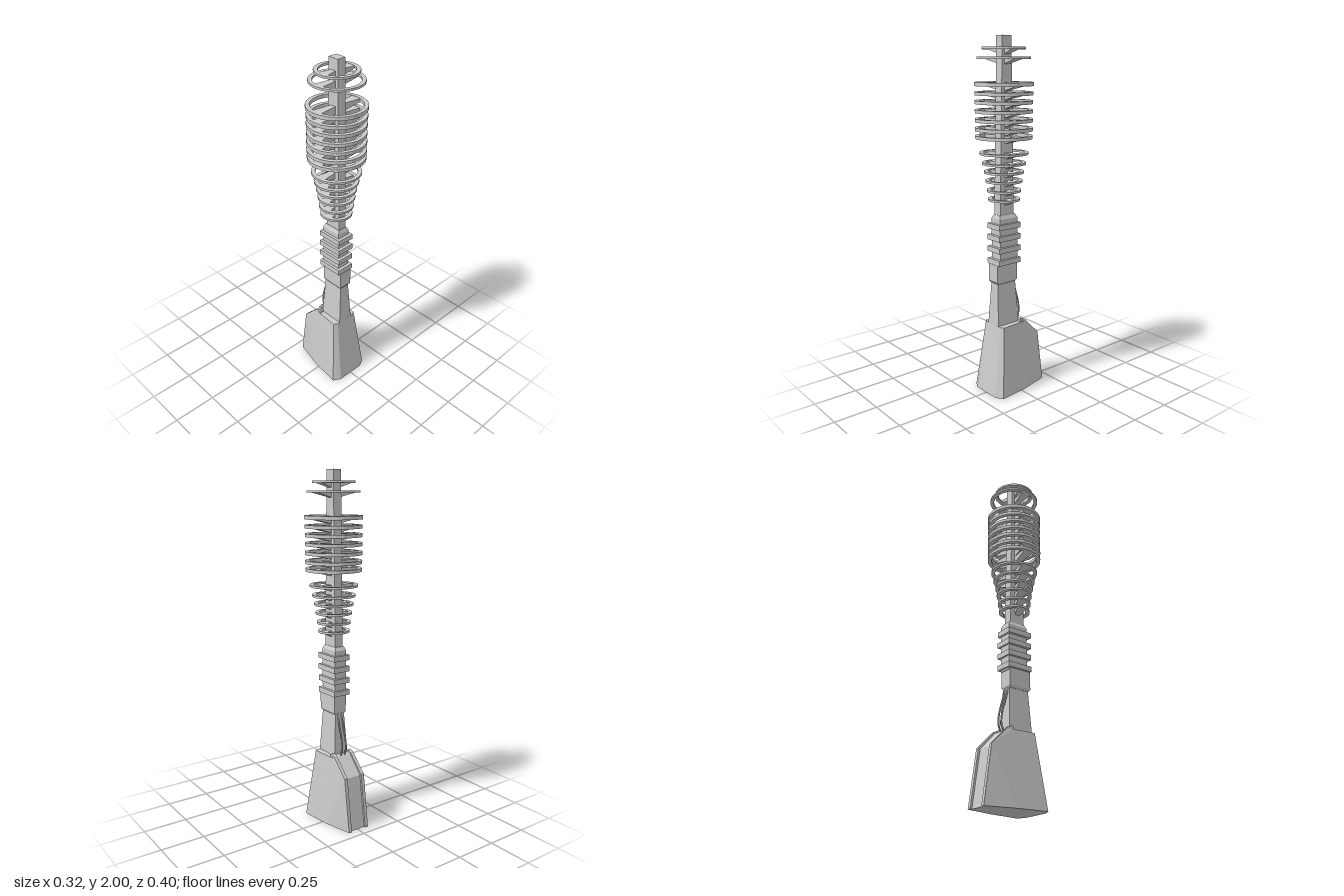
import * as THREE from 'three';
import { ConvexGeometry } from 'three/addons/geometries/ConvexGeometry.js';

const material = new THREE.MeshStandardMaterial({ color: 0xcccccc, flatShading: true });
const AXIS_Z = 0.04;

export function createModel() {
  const model = new THREE.Group();

  const add = (name, geometry, parent = model) => {
    const mesh = new THREE.Mesh(geometry, material);
    mesh.name = name;
    parent.add(mesh);
    return mesh;
  };

  // Faceted solid around a set of corners
  const hull = (name, corners, parent) =>
    add(name, new ConvexGeometry(corners.map((c) => new THREE.Vector3(...c))), parent);

  // Corners mirrored to both sides of x = 0
  const both = (corners) => corners.flatMap(([x, y, z]) => [[x, y, z], [-x, y, z]]);

  // Tapered block; each level is [y, half width, back z, front z]
  const block = (name, ...levels) =>
    hull(name, both(levels.flatMap(([y, w, back, front]) => [[w, y, back], [w, y, front]])));

  // Flared base with chamfered front corners
  hull('base', both([
    [0.085, 0, 0.175], [0.128, 0, 0.15], [0.107, 0, -0.03],
    [0.06, 0.405, 0.12], [0.083, 0.405, 0.108], [0.073, 0.405, -0.03],
  ]));

  // Rear housing: flanks, inset panel and two raised rails
  const profile = (inset) => new THREE.Shape([
    new THREE.Vector2(0.02, 0), new THREE.Vector2(0.2 - inset, 0),
    new THREE.Vector2(0.157 - inset, 0.312 - inset * 0.5),
    new THREE.Vector2(0.055, 0.415 - inset), new THREE.Vector2(0.03, 0.425 - inset),
    new THREE.Vector2(0.02, 0.42 - inset),
  ]);
  const slab = (name, x, width, inset) => {
    const geometry = new THREE.ExtrudeGeometry(profile(inset), { depth: width, bevelEnabled: false });
    geometry.rotateY(Math.PI / 2); // profile x becomes -z, depth becomes +x
    add(name, geometry).position.x = x - width / 2;
  };
  slab('rearPanel', 0, 0.1, 0.011);
  for (const side of [-1, 1]) {
    slab('rearRail', side * 0.058, 0.02, 0);
    hull('rearFlank', [
      [0.107, 0, -0.03], [0.073, 0.405, -0.03], [0.068, 0, -0.195],
      [0.068, 0.31, -0.153], [0.068, 0.405, -0.055],
      [0.05, 0, -0.03], [0.05, 0.405, -0.03],
    ].map(([x, y, z]) => [side * x, y, z]));
  }

  // Neck and grip
  block('neck', [0.4, 0.046, -0.03, 0.12], [0.66, 0.029, -0.015, 0.108]);
  block('gripFoot', [0.648, 0.032, -0.015, 0.11], [0.66, 0.039, -0.021, 0.118],
    [0.76, 0.039, -0.021, 0.118]);
  block('gripCore', [0.75, 0.038, -0.025, 0.098], [1.02, 0.038, -0.025, 0.098],
    [1.04, 0.028, -0.015, 0.09]);
  for (const y of [0.775, 0.845, 0.912, 0.977]) {
    block('gripBand', [y - 0.015, 0.053, -0.037, 0.116], [y + 0.015, 0.053, -0.037, 0.116]);
  }

  // Thin cables behind the neck
  for (const x of [-0.013, 0.013]) {
    const path = new THREE.CatmullRomCurve3([
      [x, 0.655, -0.012], [x, 0.59, -0.03], [x, 0.51, -0.052], [x, 0.45, -0.058], [x, 0.405, -0.045],
    ].map((p) => new THREE.Vector3(...p)));
    add('cable', new THREE.TubeGeometry(path, 16, 0.005, 6));
  }

  // Mast
  block('mast', [1.03, 0.026, -0.008, 0.088], [1.25, 0.025, -0.002, 0.078], [2, 0.025, 0.008, 0.07]);

  // Rings: [y, outer radius, thickness]
  const rings = [
    [1.124, 0.088, 0.012], [1.174, 0.095, 0.012], [1.227, 0.102, 0.012],
    [1.277, 0.11, 0.012], [1.325, 0.121, 0.012], [1.38, 0.135, 0.012],
    [1.468, 0.156, 0.018], [1.51, 0.157, 0.018], [1.558, 0.157, 0.018],
    [1.606, 0.157, 0.018], [1.654, 0.157, 0.018], [1.7, 0.158, 0.018],
    [1.749, 0.16, 0.02], [1.884, 0.145, 0.012], [1.934, 0.117, 0.012],
  ];
  for (const [y, radius, thickness] of rings) {
    const tier = new THREE.Group();
    tier.name = 'ringTier';
    tier.position.set(0, y, AXIS_Z);
    model.add(tier);
    const inner = radius - 0.022;
    const t = thickness / 2;
    const section = [[inner, -t], [radius, -t], [radius, t], [inner, t], [inner, -t]]
      .map((p) => new THREE.Vector2(...p));
    add('ring', new THREE.LatheGeometry(section, 24), tier);

    // Spokes flare outwards and thin towards the ring
    const reach = inner + 0.004;
    for (const side of [-1, 1]) {
      const corners = [];
      for (const s of [-1, 1]) {
        corners.push(
          [side * 0.02, t * 0.8, s * 0.015], [side * 0.02, -t - 0.026, s * 0.014],
          [side * reach, t * 0.8, s * 0.03], [side * reach, -t * 0.8, s * 0.03],
        );
      }
      hull('spoke', corners, tier);
    }
  }

  return model;
}
